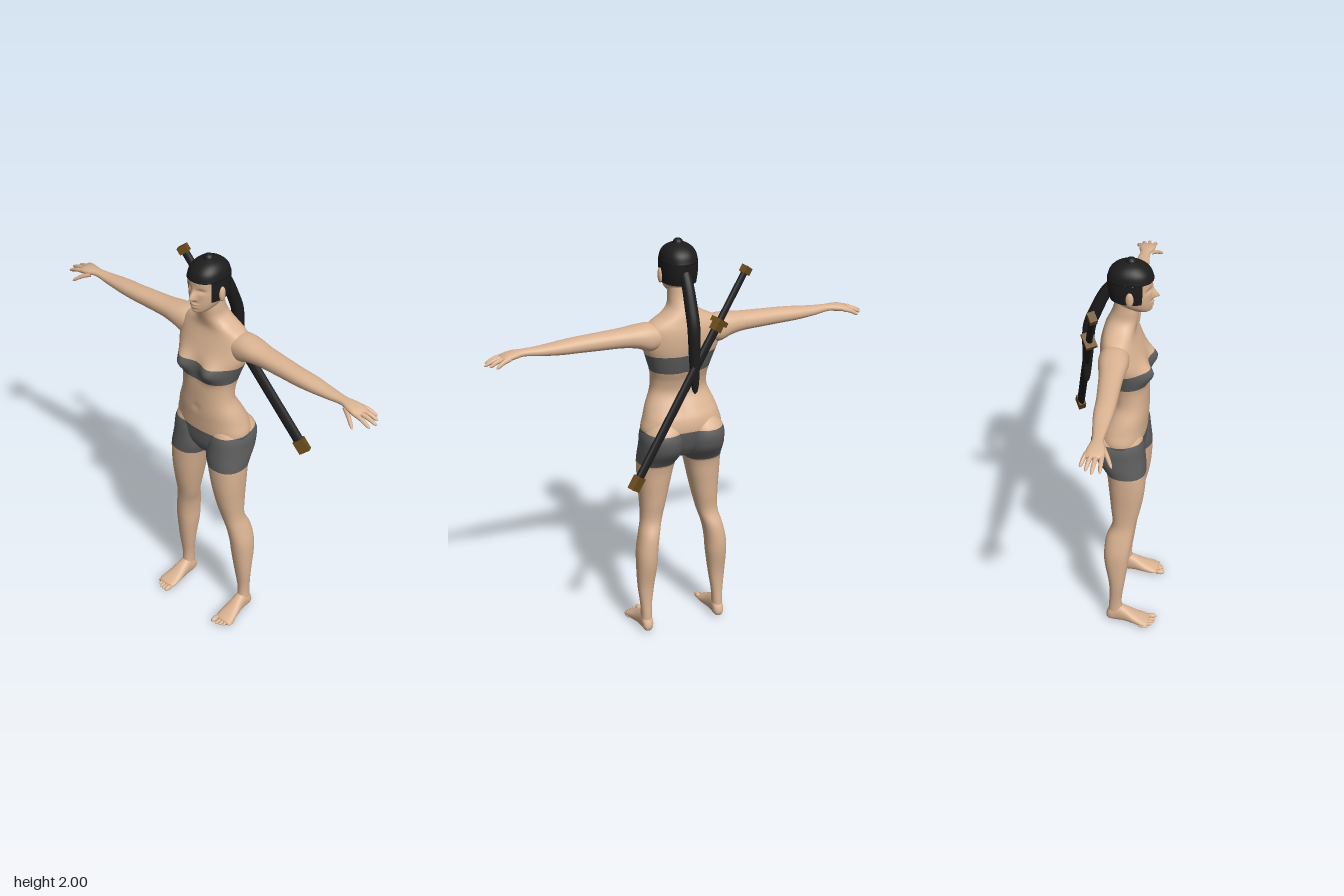
import * as THREE from 'three';

const V = (x, y, z) => new THREE.Vector3(x, y, z);
const gauss = (d, w) => Math.exp(-(d * d) / (w * w));

// Smooth interpolation through sections [t, ...values]
function sample(secs, t) {
  let i = 0;
  while (i < secs.length - 2 && t > secs[i + 1][0]) i++;
  const p = secs[i], q = secs[i + 1], h = q[0] - p[0], u = (t - p[0]) / h;
  const o = secs[Math.max(0, i - 1)], r = secs[Math.min(secs.length - 1, i + 2)];
  return p.slice(1).map((a, k) => {
    const b = q[k + 1];
    const m0 = (b - o[k + 1]) / (q[0] - o[0]) * h, m1 = (r[k + 1] - a) / (r[0] - p[0]) * h;
    const u2 = u * u, u3 = u2 * u;
    return (2 * u3 - 3 * u2 + 1) * a + (u3 - 2 * u2 + u) * m0 + (3 * u2 - 2 * u3) * b + (u3 - u2) * m1;
  });
}

// Loft rounded cross-sections along an axis. A section is [t, aMin, aMax, bMin, bMax],
// where (a, b) is (y, z) along x, (z, x) along y and (x, y) along z.
function loft(axis, secs, { rows = 40, seg = 36, cuts = [], matAt, warp, arc } = {}) {
  const t0 = secs[0][0], t1 = secs[secs.length - 1][0], ts = [...cuts];
  for (let i = 0; i <= rows; i++) {
    const t = t0 + (t1 - t0) * i / rows;
    if (!cuts.some(c => Math.abs(c - t) < (t1 - t0) / rows * 0.4)) ts.push(t);
  }
  ts.sort((a, b) => a - b);
  const [start, sweep] = arc || [0, Math.PI * 2];
  const n = arc ? seg + 1 : seg, pos = [], idx = [], geo = new THREE.BufferGeometry();
  const put = (t, a, b) => {
    const p = axis === 'x' ? V(t, a, b) : axis === 'y' ? V(b, t, a) : V(a, b, t);
    if (warp) warp(p);
    pos.push(p.x, p.y, p.z);
  };
  const round = v => Math.sign(v) * Math.pow(Math.abs(v), 0.9);
  for (const t of ts) {
    const [a0, a1, b0, b1] = sample(secs, t);
    for (let j = 0; j < n; j++) {
      const th = start + sweep * j / seg;
      put(t, (a0 + a1) / 2 + (a1 - a0) / 2 * round(Math.cos(th)), (b0 + b1) / 2 + (b1 - b0) / 2 * round(Math.sin(th)));
    }
  }
  ts.slice(1).forEach((t, i) => {
    const from = idx.length;
    for (let j = 0; j < seg; j++) {
      const k = (j + 1) % n, a = i * n + j, b = i * n + k, c = a + n, d = b + n;
      idx.push(a, b, d, a, d, c);
    }
    if (matAt) geo.addGroup(from, idx.length - from, matAt((t + ts[i]) / 2));
  });
  if (!arc) { // end caps
    const from = idx.length, last = ts.length - 1;
    for (const r of [0, last]) {
      const [a0, a1, b0, b1] = sample(secs, ts[r]), c = pos.length / 3;
      put(ts[r], (a0 + a1) / 2, (b0 + b1) / 2);
      for (let j = 0; j < n; j++) {
        const p = r * n + j, q = r * n + (j + 1) % n;
        r ? idx.push(c, p, q) : idx.push(c, q, p);
      }
    }
    if (matAt) geo.addGroup(from, idx.length - from, matAt(ts[0]));
  }
  geo.setAttribute('position', new THREE.Float32BufferAttribute(pos, 3));
  geo.setIndex(idx);
  geo.computeVertexNormals();
  return geo;
}

// Tube whose radius follows a rule along its length
function taperTube(points, radius, seg = 12, sides = 10) {
  const curve = new THREE.CatmullRomCurve3(points);
  const geo = new THREE.TubeGeometry(curve, seg, 1, sides), p = geo.attributes.position;
  for (let i = 0; i < p.count; i++) {
    const t = Math.floor(i / (sides + 1)) / seg, c = curve.getPointAt(t);
    const v = V(0, 0, 0).fromBufferAttribute(p, i).sub(c).multiplyScalar(radius(t)).add(c);
    p.setXYZ(i, v.x, v.y, v.z);
  }
  geo.computeVertexNormals();
  return geo;
}
const ball = (x, y, z, rx, ry, rz) => new THREE.SphereGeometry(1, 20, 14).scale(rx, ry, rz).translate(x, y, z);

function mirrored(geo) {
  const g = geo.clone().scale(-1, 1, 1), ix = g.index.array;
  for (let i = 0; i < ix.length; i += 3) [ix[i], ix[i + 1]] = [ix[i + 1], ix[i]];
  return g;
}

export function createModel() {
  const model = new THREE.Group();
  const mat = (name, color, side = THREE.FrontSide) => new THREE.MeshStandardMaterial({ name, color, side });
  const skin = mat('skin', 0xdbb493), cloth = mat('grey cloth', 0x5e5e5e);
  const hair = mat('black hair', 0x1c1c1c, THREE.DoubleSide), lacquer = mat('black lacquer', 0x1e1e20);
  const brass = mat('aged brass', 0x6b4b1c);
  const add = (name, geo, m, parent = model) => {
    const mesh = new THREE.Mesh(geo, m);
    mesh.name = name;
    parent.add(mesh);
  };
  const pair = (name, geo, m) => {
    add(name + 'Left', geo, m);
    add(name + 'Right', mirrored(geo), m);
  };

  // Torso and neck, with chest band and top of the shorts
  const torso = [
    [0.95, -0.02, 0.12, 0.08], [1.0, -0.05, 0.145, 0.17], [1.09, -0.075, 0.153, 0.2], [1.15, -0.07, 0.157, 0.186],
    [1.2, -0.045, 0.16, 0.17], [1.27, -0.012, 0.16, 0.142], [1.33, -0.02, 0.16, 0.138], [1.38, -0.038, 0.158, 0.146],
    [1.44, -0.052, 0.155, 0.165], [1.5, -0.062, 0.143, 0.185], [1.56, -0.064, 0.12, 0.19], [1.6, -0.06, 0.104, 0.185],
    [1.63, -0.052, 0.096, 0.155], [1.655, -0.045, 0.098, 0.105], [1.69, -0.03, 0.104, 0.066],
    [1.74, -0.01, 0.108, 0.057], [1.8, 0, 0.1, 0.055],
  ].map(([y, z0, z1, w]) => [y, z0, z1, -w, w]);
  add('torso', loft('y', torso, {
    rows: 80, seg: 64, cuts: [1.09, 1.38, 1.47],
    matAt: y => (y < 1.09 || (y > 1.38 && y < 1.47) ? 1 : 0),
    warp: p => {
      const x = Math.abs(p.x);
      if (p.z > 0.06) p.z += Math.min(1, (p.z - 0.06) / 0.05) * (0.043 * gauss(x - 0.085, 0.05) * gauss(p.y - 1.442, 0.048)
        - 0.006 * gauss(x, 0.015) * gauss(p.y - 1.22, 0.02));
      else if (p.z < 0) p.z += 0.012 * gauss(x, 0.025) * gauss(p.y - 1.33, 0.17);
    },
  }), [skin, cloth]);

  // Legs, with the shorts above the thighs
  pair('leg', loft('y', [
    [0.04, -0.005, 0.07, 0.165, 0.218], [0.1, -0.003, 0.062, 0.165, 0.217], [0.15, 0, 0.062, 0.162, 0.22],
    [0.25, -0.003, 0.075, 0.148, 0.23], [0.38, -0.025, 0.092, 0.132, 0.235], [0.45, -0.027, 0.1, 0.128, 0.232],
    [0.53, -0.018, 0.11, 0.116, 0.216], [0.6, 0.008, 0.122, 0.096, 0.2], [0.7, 0, 0.145, 0.072, 0.2],
    [0.8, -0.01, 0.16, 0.05, 0.206], [0.91, -0.025, 0.165, 0.025, 0.211], [0.95, -0.055, 0.163, 0.008, 0.21],
    [1.0, -0.088, 0.158, 0.005, 0.207], [1.08, -0.096, 0.148, 0.012, 0.199], [1.16, -0.04, 0.12, 0.04, 0.15],
  ], { rows: 60, cuts: [0.91, 1.09], matAt: y => (y > 0.91 && y < 1.09 ? 1 : 0) }), [skin, cloth]);

  // Feet and toes
  pair('foot', loft('z', [
    [-0.014, 0.178, 0.204, 0.015, 0.045], [0, 0.165, 0.216, 0.004, 0.075], [0.04, 0.162, 0.22, 0, 0.1],
    [0.08, 0.158, 0.226, 0.002, 0.085], [0.13, 0.152, 0.238, 0, 0.055], [0.175, 0.15, 0.246, 0, 0.034],
    [0.2, 0.157, 0.24, 0.004, 0.024],
  ], { rows: 24, seg: 28 }), skin);
  for (let i = 0; i < 5; i++) {
    const r = i ? 0.0085 : 0.013;
    pair('toe' + (i + 1), ball(0.164 + i * 0.018 + (i ? 0.004 : 0), r + 0.002, 0.21 - i * i * 0.0022, r, r, 0.026), skin);
  }

  // Arms and palms
  pair('arm', loft('x', [
    [0.1, 1.52, 1.615, -0.04, 0.08], [0.17, 1.498, 1.63, -0.05, 0.088], [0.23, 1.52, 1.626, -0.044, 0.088],
    [0.3, 1.53, 1.618, -0.03, 0.082], [0.4, 1.532, 1.612, -0.02, 0.08], [0.5, 1.534, 1.606, -0.012, 0.08],
    [0.58, 1.537, 1.6, -0.01, 0.077], [0.68, 1.545, 1.59, 0.002, 0.068], [0.76, 1.554, 1.586, 0.013, 0.063],
    [0.8, 1.549, 1.584, 0.004, 0.075], [0.84, 1.545, 1.577, -0.003, 0.08], [0.865, 1.548, 1.566, 0.002, 0.074],
  ], { rows: 50, seg: 28 }), skin);

  // Fingers and thumb: root x, y, z then tip x, y, z
  [
    [0.83, 1.56, 0.006, 0.9, 1.53, -0.016], [0.84, 1.56, 0.026, 0.925, 1.532, 0.01],
    [0.84, 1.56, 0.047, 0.942, 1.53, 0.038], [0.835, 1.56, 0.068, 0.93, 1.528, 0.072],
    [0.785, 1.56, 0.062, 0.868, 1.512, 0.112],
  ].forEach(([x, y, z, X, Y, Z], i) => pair(i < 4 ? 'finger' + (i + 1) : 'thumb', taperTube(
    [V(x, y, z), V((x + X) / 2, (y + Y) / 2 + 0.006, (z + Z) / 2), V(X, Y, Z)],
    t => 0.0115 * (1 - 0.3 * t) * Math.sqrt(Math.max(0, 1 - t ** 8))), skin));

  // Head with nose, lips, chin and eye sockets
  const oval = rows => rows.map(([y, z0, z1, w]) => [y, z0, z1, -w, w]);
  add('head', loft('y', oval([
    [1.733, 0.11, 0.145, 0.018], [1.745, 0.07, 0.16, 0.038], [1.775, 0.01, 0.165, 0.062], [1.82, -0.018, 0.166, 0.076],
    [1.87, -0.03, 0.167, 0.079], [1.92, -0.028, 0.163, 0.077], [1.955, 0, 0.13, 0.05], [1.97, 0.04, 0.1, 0.02],
  ]), {
    rows: 64, seg: 96,
    warp: p => {
      if (p.z < 0.1) return;
      const x = Math.abs(p.x);
      const ridge = 0.032 * gauss(p.y - 1.815, p.y > 1.815 ? 0.03 : 0.01) * gauss(x, 0.013);
      const lips = 0.009 * (gauss(p.y - 1.785, 0.006) + gauss(p.y - 1.771, 0.006)) * gauss(x, 0.022);
      const chin = 0.006 * gauss(p.y - 1.748, 0.012) * gauss(x, 0.02);
      const socket = 0.009 * gauss(p.y - 1.856, 0.011) * gauss(x - 0.034, 0.02);
      p.z += ridge + lips + chin - socket;
    },
  }), skin);
  pair('ear', ball(0.086, 1.832, 0.075, 0.011, 0.036, 0.018).rotateZ(0), skin);
  pair('eyelash', ball(0.034, 1.857, 0.144, 0.014, 0.0025, 0.004), hair);

  // Hair: crown, sides around the face, knot and ponytail
  const scalp = oval([
    [1.8, -0.024, 0.165, 0.08], [1.85, -0.034, 0.172, 0.085], [1.9, -0.037, 0.173, 0.086],
    [1.94, -0.022, 0.157, 0.076], [1.968, 0.012, 0.122, 0.05], [1.984, 0.06, 0.076, 0.008],
  ]);
  add('hairCrown', loft('y', [scalp[2], ...scalp.slice(3)], { rows: 20, seg: 48 }), hair);
  add('hairSides', loft('y', scalp.slice(0, 3), { rows: 10, seg: 48, arc: [0.98, Math.PI * 2 - 1.96] }), hair);
  add('hairKnot', ball(0, 1.978, 0.07, 0.024, 0.022, 0.024), hair);
  add('ponytail', taperTube(
    [V(0, 1.86, -0.01), V(0, 1.81, -0.045), V(0, 1.72, -0.085), V(0, 1.63, -0.117), V(0, 1.48, -0.127), V(0, 1.31, -0.135)],
    t => (0.026 + 0.008 * Math.sin(Math.PI * t) - 0.01 * t) * Math.sqrt(Math.max(0, 1 - t ** 24)), 40, 16), hair);

  // Sheathed sword slung across the back, built along +y from pommel to tip
  const sword = new THREE.Group(), from = V(-0.29, 1.865, -0.057), to = V(0.345, 0.925, -0.225);
  const length = from.distanceTo(to);
  sword.name = 'sword';
  sword.position.copy(from);
  sword.quaternion.setFromUnitVectors(V(0, 1, 0), to.clone().sub(from).normalize());
  const rod = (name, a, b, w, d) => add(name, new THREE.CylinderGeometry(1, 1, (b - a) * length, 16)
    .scale(w / 2, 1, d / 2).translate(0, (a + b) / 2 * length, 0), lacquer, sword);
  const block = (name, a, b, w, d) => add(name, new THREE.BoxGeometry(w, (b - a) * length, d)
    .translate(0, (a + b) / 2 * length, 0), brass, sword);
  block('pommel', 0, 0.03, 0.048, 0.034);
  rod('grip', 0.03, 0.24, 0.038, 0.028);
  block('guard', 0.235, 0.255, 0.075, 0.052);
  block('collar', 0.255, 0.285, 0.054, 0.036);
  rod('sheath', 0.28, 0.945, 0.052, 0.032);
  block('sheathTip', 0.94, 1, 0.056, 0.034);
  model.add(sword);

  return model;
}
